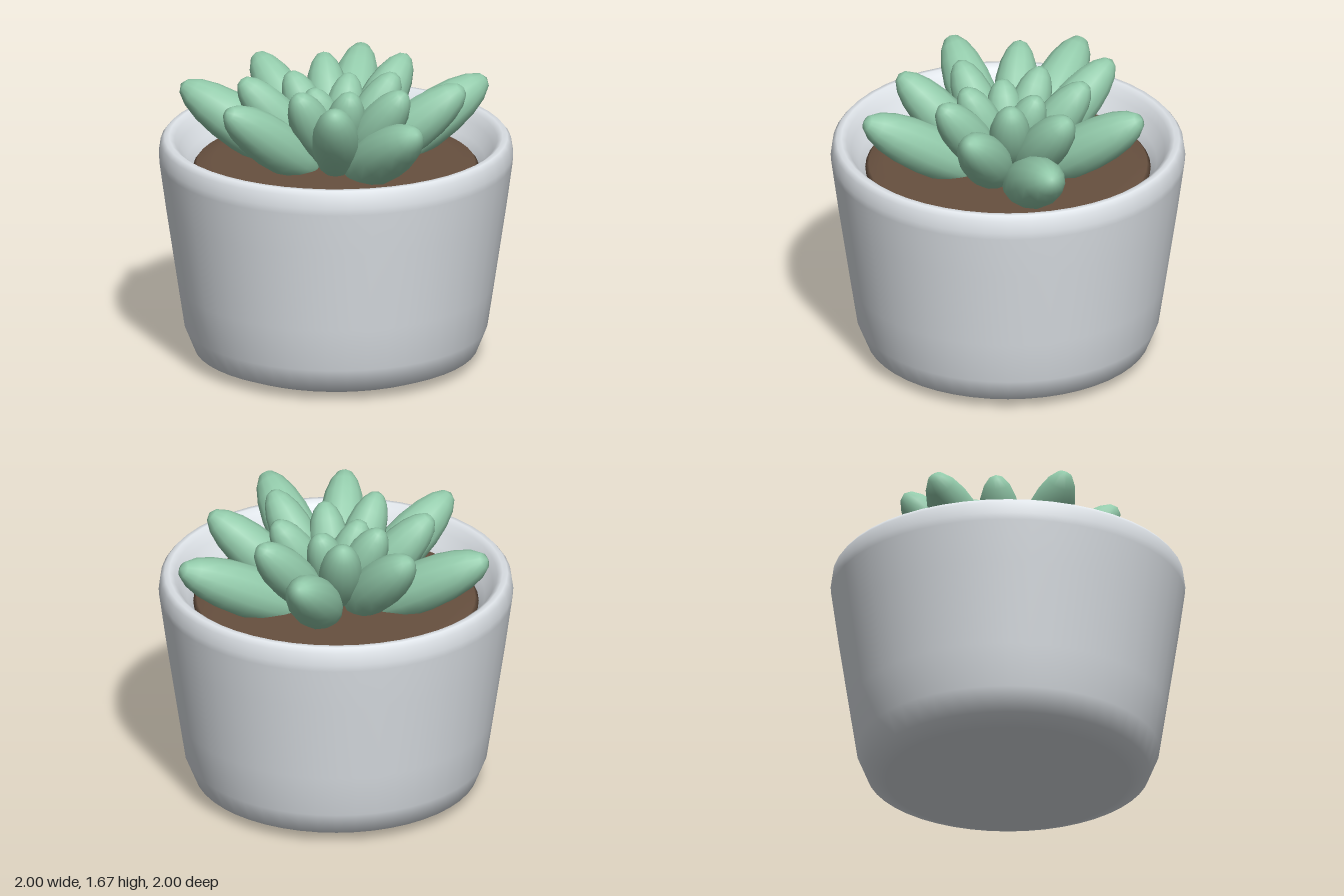
import * as THREE from 'three';

const mat = (color) => new THREE.MeshStandardMaterial({ color });
const lathe = (points) =>
  new THREE.LatheGeometry(points.map(([r, y]) => new THREE.Vector2(r, y)), 48);

export function createModel() {
  const model = new THREE.Group();
  const add = (name, geometry, material, parent = model) => {
    const mesh = new THREE.Mesh(geometry, material);
    mesh.name = name;
    parent.add(mesh);
    return mesh;
  };

  // Pot: rounded base, tapering wall, soft rim and inner wall
  add('pot', lathe([
    [0, 0], [0.45, 0.005], [0.69, 0.02], [0.8, 0.065], [0.855, 0.2], [0.893, 0.45],
    [0.963, 0.92], [0.997, 1.17], [1, 1.21], [0.99, 1.28], [0.968, 1.308], [0.94, 1.31],
    [0.91, 1.29], [0.885, 1.24], [0.84, 1.17], [0.8, 1.1], [0.78, 1.02],
  ]), mat(0xdfe4e9));

  // Soil: shallow disc with a softened edge
  add('soil', lathe([[0.78, 1.06], [0.805, 1.13], [0.785, 1.155], [0.7, 1.165], [0, 1.17]]),
    mat(0x67503f));

  // Leaves: plump ellipsoids in a golden-angle spiral, shrinking and rising inwards
  const rosette = new THREE.Group();
  rosette.name = 'rosette';
  model.add(rosette);
  const leafGeometry = new THREE.SphereGeometry(1, 14, 10).rotateZ(-Math.PI / 2);
  const leafMaterial = mat(0x93cbab);
  for (let i = 0; i < 18; i++) {
    const angle = THREE.MathUtils.degToRad(-137.5 * i);
    const tilt = THREE.MathUtils.degToRad(28 + 2.4 * i);
    const length = 0.45 - 0.0135 * i;
    const width = 0.15 - 0.0025 * i;
    const c = Math.cos(tilt), s = Math.sin(tilt);
    // Centre follows from the outermost reach and the top height of each leaf
    const radius = 0.96 - 0.0445 * i - Math.hypot(length * c, width * s);
    const y = 1.675 - 0.00125 * (i - 10) ** 2 - Math.hypot(length * s, width * c);
    const leaf = add('leaf', leafGeometry, leafMaterial, rosette);
    leaf.scale.set(length, width, width);
    leaf.rotation.set(0, -angle, tilt, 'YXZ');
    leaf.position.set(radius * Math.cos(angle), y, radius * Math.sin(angle));
  }
  return model;
}
